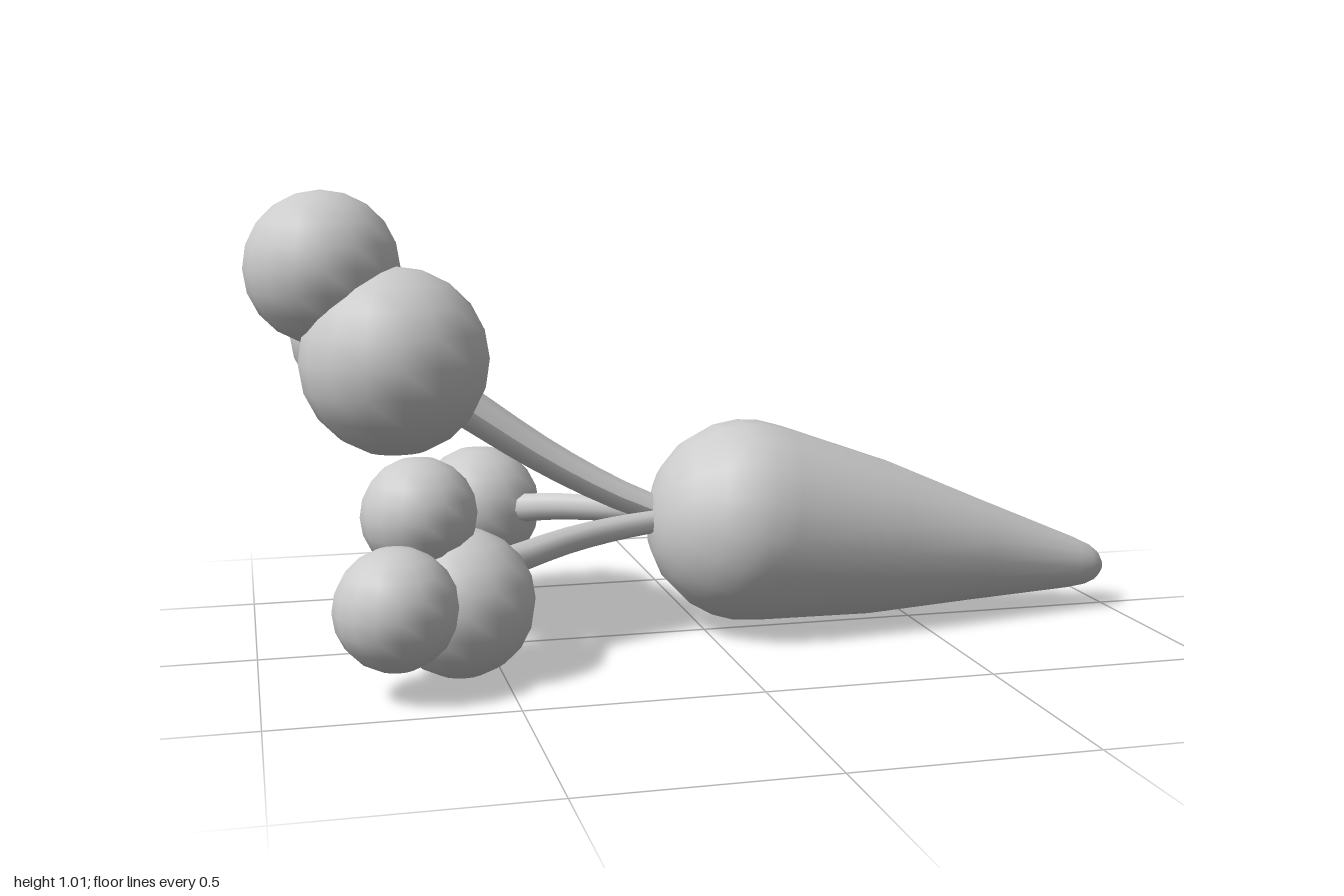
import * as THREE from 'three';

const material = new THREE.MeshStandardMaterial({ color: 0xcccccc });

function addMesh(parent, name, geometry) {
  const mesh = new THREE.Mesh(geometry, material);
  mesh.name = name;
  parent.add(mesh);
  return mesh;
}

// Tapered root, turned around an axis that dips towards the tip
function addRoot(parent) {
  const profile = [
    [0, 0], [0.04, 0], [0.1, 0.015], [0.16, 0.055], [0.205, 0.115], [0.225, 0.17],
    [0.231, 0.22], [0.225, 0.28], [0.18, 0.55], [0.12, 0.8], [0.062, 1.05],
    [0.05, 1.09], [0.036, 1.115], [0.018, 1.13], [0, 1.135],
  ].map(([r, t]) => new THREE.Vector2(r, t));
  const root = addMesh(parent, 'root', new THREE.LatheGeometry(profile, 18));
  // The profile starts at the crown and runs along local +y to the tip
  root.quaternion.setFromUnitVectors(
    new THREE.Vector3(0, 1, 0), new THREE.Vector3(0.984, -0.178, 0).normalize());
  root.position.set(-0.12, 0.3, 0);
}

// Curved stem that thickens from r0 at the root to r1 at the leaves
function addStem(parent, points, r0, r1) {
  const curve = new THREE.CatmullRomCurve3(points.map(p => new THREE.Vector3(...p)));
  const rows = 8, sides = 8;
  const geometry = new THREE.TubeGeometry(curve, rows, 1, sides);
  const position = geometry.attributes.position;
  const v = new THREE.Vector3();
  for (let i = 0; i < position.count; i++) {
    const t = Math.floor(i / (sides + 1)) / rows;
    const centre = curve.getPointAt(t);
    v.fromBufferAttribute(position, i).sub(centre);
    v.multiplyScalar(r0 + (r1 - r0) * t).add(centre);
    position.setXYZ(i, v.x, v.y, v.z);
  }
  geometry.computeVertexNormals();
  addMesh(parent, 'stem', geometry);
  const end = addMesh(parent, 'stemEnd', new THREE.SphereGeometry(r1, 8, 6));
  end.position.set(...points[points.length - 1]);
}

// Each frond: a stem and three leaf balls given as [x, y, z, radius]
const fronds = [
  {
    name: 'upperFrond', r0: 0.03, r1: 0.046,
    stem: [[-0.06, 0.27, -0.02], [-0.2, 0.33, -0.035], [-0.36, 0.42, -0.05], [-0.55, 0.55, -0.06]],
    balls: [[-0.69, 0.65, 0.008, 0.205], [-0.835, 0.85, -0.055, 0.167], [-0.74, 0.685, -0.25, 0.162]],
  },
  {
    name: 'frontFrond', r0: 0.025, r1: 0.034,
    stem: [[-0.06, 0.27, -0.01], [-0.2, 0.262, 0.025], [-0.33, 0.25, 0.075], [-0.48, 0.225, 0.15]],
    balls: [[-0.585, 0.165, 0.228, 0.158], [-0.667, 0.355, 0.225, 0.121], [-0.73, 0.193, 0.363, 0.127]],
  },
  {
    name: 'backFrond', r0: 0.025, r1: 0.034,
    stem: [[-0.06, 0.28, -0.02], [-0.2, 0.285, -0.075], [-0.32, 0.285, -0.14], [-0.43, 0.27, -0.21]],
    balls: [[-0.478, 0.265, -0.28, 0.144], [-0.595, 0.18, -0.382, 0.112], [-0.59, 0.135, -0.2, 0.105]],
  },
];

export function createModel() {
  const model = new THREE.Group();
  model.name = 'carrot';
  addRoot(model);

  for (const { name, stem, r0, r1, balls } of fronds) {
    const frond = new THREE.Group();
    frond.name = name;
    model.add(frond);
    addStem(frond, stem, r0, r1);
    for (const [x, y, z, r] of balls) {
      const ball = addMesh(frond, 'leafBall', new THREE.SphereGeometry(r, 16, 10));
      ball.position.set(x, y, z);
    }
  }
  return model;
}
